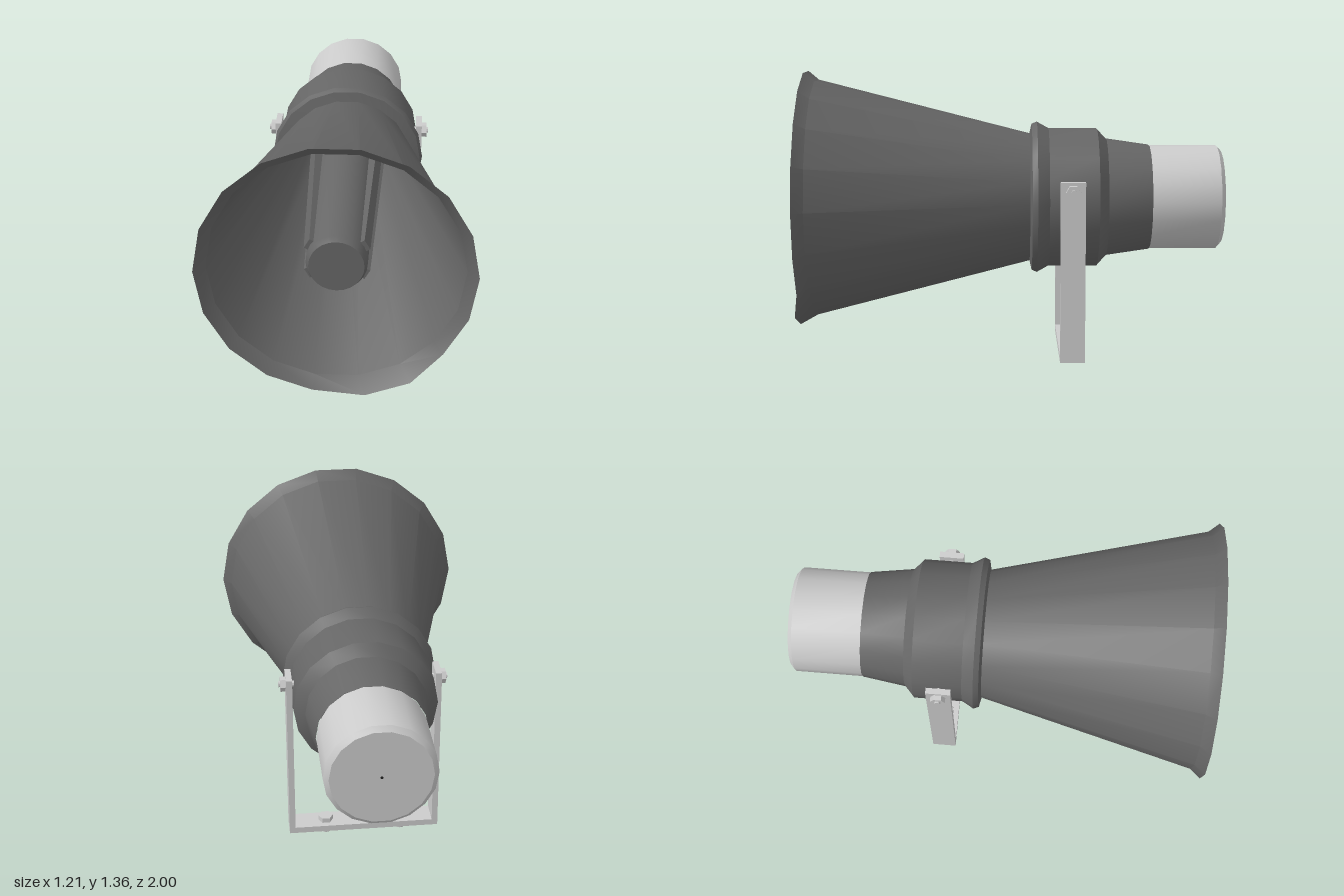
import * as THREE from 'three';
import { toCreasedNormals } from 'three/addons/utils/BufferGeometryUtils.js';

const AXIS_Y = 0.76;
const dark = new THREE.MeshStandardMaterial({ color: 0x666666 });
const grey = new THREE.MeshStandardMaterial({ color: 0xcccccc });

function mesh(name, geometry, material, x = 0, y = 0, z = 0) {
  const m = new THREE.Mesh(geometry, material);
  m.name = name;
  m.position.set(x, y, z);
  return m;
}

// Turned part along z from [z, radius] points; back-to-front faces outwards, front-to-back inwards
function turned(points, sides = 18) {
  const g = new THREE.LatheGeometry(points.map(([z, r]) => new THREE.Vector2(r, z)), sides, Math.PI / 2);
  g.rotateX(Math.PI / 2);
  // Pull two lower rim corners forward, as a bent lip
  const p = g.attributes.position;
  for (let i = 0; i < p.count; i++) {
    const x = p.getX(i), y = p.getY(i);
    if (Math.hypot(x, y) > 0.6 && x > 0.05 && y < -0.5) p.setXYZ(i, x + 0.022, y, 1);
  }
  return toCreasedNormals(g, 0.5);
}

// Hex bolt along y, its seat at y = 0
function bolt(name, shaftRadius, shaftFrom, shaftTo) {
  const g = new THREE.Group();
  g.name = name;
  const head = new THREE.CylinderGeometry(0.035, 0.035, 0.024, 6);
  g.add(mesh('boltHead', toCreasedNormals(head, 0.5), grey, 0, 0.012, 0));
  const shaft = new THREE.CylinderGeometry(shaftRadius, shaftRadius, shaftTo - shaftFrom, 10);
  g.add(mesh('boltShaft', toCreasedNormals(shaft, 0.8), grey, 0, (shaftFrom + shaftTo) / 2, 0));
  return g;
}

export function createModel() {
  const model = new THREE.Group();
  model.name = 'hornSpeaker';

  const speaker = new THREE.Group();
  speaker.name = 'speaker';
  speaker.position.y = AXIS_Y;
  model.add(speaker);

  // Horn shell with collar and tapered neck
  speaker.add(mesh('hornShell', turned([
    [-0.66, 0.25], [-0.455, 0.28], [-0.41, 0.33], [-0.18, 0.33], [-0.125, 0.361],
    [-0.1, 0.35], [-0.09, 0.305], [0.92, 0.563], [0.97, 0.605],
  ]), dark));

  // Inside of the horn down to the throat floor
  speaker.add(mesh('hornInside', turned([
    [0.97, 0.605], [0.92, 0.555], [-0.42, 0.2], [-0.42, 0],
  ]), dark));

  // Driver housing at the back
  speaker.add(mesh('driverHousing', turned([
    [-1, 0], [-1, 0.225], [-0.98, 0.248], [-0.66, 0.248], [-0.66, 0],
  ]), grey));
  const hole = new THREE.CircleGeometry(0.007, 10);
  hole.rotateY(Math.PI);
  speaker.add(mesh('drainHole', hole, new THREE.MeshStandardMaterial({ color: 0x222222 }), 0, 0, -1.0005));

  // Centre plug, widening towards the throat
  speaker.add(mesh('centrePlug', turned([
    [-0.42, 0.152], [0.87, 0.133], [0.9, 0.12], [0.9, 0],
  ], 24), dark));

  // Four tapered ribs on the plug
  for (const angle of [30, 150, 210, 330]) {
    const rib = new THREE.BoxGeometry(0.1, 0.05, 1.26);
    const p = rib.attributes.position;
    for (let i = 0; i < p.count; i++) {
      const outer = p.getZ(i) > 0 ? 0.15 : 0.198;
      p.setX(i, p.getX(i) > 0 ? outer : 0.1);
    }
    rib.computeVertexNormals();
    const m = mesh('plugRib', rib, dark, 0, 0, 0.21);
    m.rotation.z = THREE.MathUtils.degToRad(angle);
    speaker.add(m);
  }

  // U-shaped mounting bracket
  const bracket = new THREE.Group();
  bracket.name = 'bracket';
  bracket.position.z = -0.285;
  model.add(bracket);
  const u = new THREE.Shape([
    [-0.357, 0.03], [0.357, 0.03], [0.357, 0.87], [0.329, 0.87],
    [0.329, 0.06], [-0.329, 0.06], [-0.329, 0.87], [-0.357, 0.87],
  ].map(([x, y]) => new THREE.Vector2(x, y)));
  const strap = new THREE.ExtrudeGeometry(u, { depth: 0.115, bevelEnabled: false });
  strap.translate(0, 0, -0.0575);
  bracket.add(mesh('strap', strap, grey));

  // Pivot bolts on the arms and mounting bolts through the base
  for (const side of [-1, 1]) {
    const pivot = bolt('pivotBolt', 0.014, -0.06, 0.032);
    pivot.position.set(side * 0.357, 0.825, 0);
    pivot.rotation.z = -side * Math.PI / 2;
    bracket.add(pivot);

    const mount = bolt('mountingBolt', 0.024, -0.06, 0.02);
    mount.position.set(side * 0.18, 0.06, 0);
    mount.rotation.y = Math.PI / 6;
    bracket.add(mount);
  }

  return model;
}
